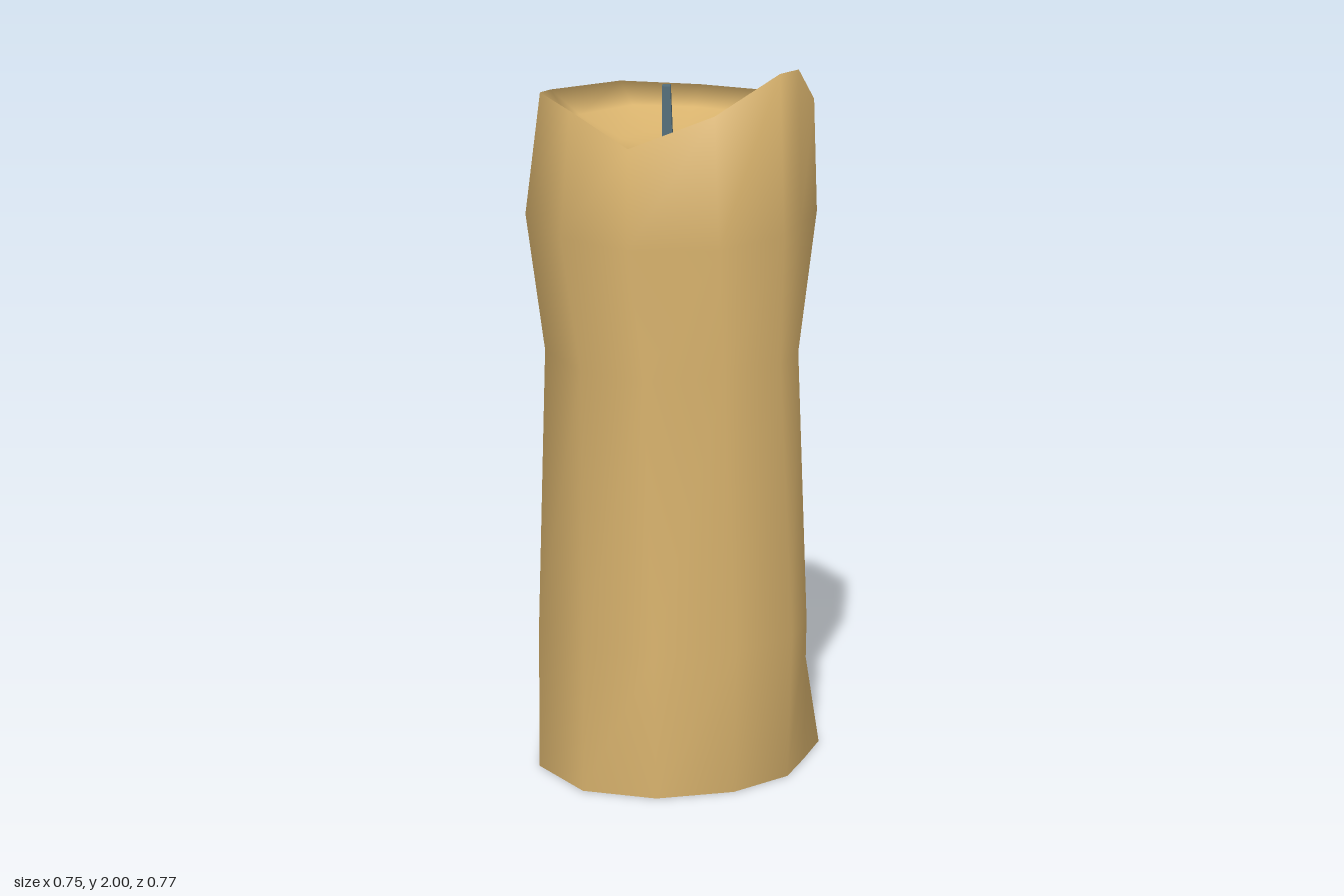
import * as THREE from 'three';

const wax = new THREE.MeshStandardMaterial({ color: 0xdab46e });
wax.name = 'wax';
const charcoal = new THREE.MeshStandardMaterial({ color: 0x546e7a });
charcoal.name = 'blue grey wick';

// Eleven corners per outline [x, z], going from the front round by +x
const foot = [[.055, .355], [.24, .24], [.34, .06], [.34, -.1], [.335, -.27], [.19, -.305],
  [.04, -.34], [-.25, -.25], [-.343, -.064], [-.33, .15], [-.155, .34]];
const shoulder = [[-.02, .385], [.22, .315], [.355, .145], [.367, .02], [.375, -.11], [.225, -.35],
  [0, -.385], [-.23, -.33], [-.372, -.11], [-.375, .13], [-.225, .315]];
// Uneven melted lip [x, z, y]
const lip = [[-.02, .375, 1.835], [.2, .29, 1.92], [.335, .115, 2], [.355, 0, 1.98], [.345, -.19, 1.84],
  [.213, -.355, 1.8], [-.03, -.39, 1.79], [-.238, -.333, 1.8], [-.372, -.11, 1.83], [-.34, .11, 1.89],
  [-.21, .28, 1.9]];

// Outline between foot and shoulder, pulled to a given radius
const between = (t, radius, y) => foot.map(([x, z], i) => {
  const px = x + (shoulder[i][0] - x) * t, pz = z + (shoulder[i][1] - z) * t;
  const s = radius / Math.hypot(px, pz);
  return [px * s, y, pz * s];
});
// Bowl outline: the lip shrunk and blended down to the pool level
const bowl = (scale, blend) => lip.map(([x, z, y]) => [x * scale, y + (1.72 - y) * blend, z * scale]);

function loft(rings) {
  const n = rings[0].length, index = [];
  for (let r = 0; r < rings.length - 1; r++) {
    for (let j = 0; j < n; j++) {
      const a = r * n + j, b = r * n + (j + 1) % n;
      index.push(a, b, b + n, a, b + n, a + n);
    }
  }
  // Close the bowl with a fan at its centre
  const last = (rings.length - 1) * n;
  for (let j = 0; j < n; j++) index.push(last + j, last + (j + 1) % n, last + n);
  const geo = new THREE.BufferGeometry();
  geo.setAttribute('position', new THREE.Float32BufferAttribute([...rings.flat(2), 0, 1.715, 0], 3));
  geo.setIndex(index);
  geo.computeVertexNormals();
  return geo;
}

export function createModel() {
  const group = new THREE.Group();
  group.name = 'candle';

  // Wax body and melted bowl in one smooth skin
  const body = new THREE.Mesh(loft([
    foot.map(([x, z]) => [x, 0, z]),
    between(0.1, 0.363, 0.4),
    between(0.5, 0.345, 1.17),
    shoulder.map(([x, z]) => [x, 1.55, z]),
    lip.map(([x, z, y]) => [x, y, z]),
    bowl(0.76, 0.5),
    bowl(0.42, 0.92),
  ]), wax);
  body.name = 'waxBody';

  // Flat underside
  const outline = new THREE.Shape(foot.map(([x, z]) => new THREE.Vector2(x, z)));
  const underside = new THREE.Mesh(new THREE.ShapeGeometry(outline).rotateX(Math.PI / 2), wax);
  underside.name = 'underside';

  // Square, slightly tapered and leaning wick
  const wick = new THREE.Mesh(new THREE.CylinderGeometry(0.016, 0.022, 0.22, 4).toNonIndexed(), charcoal);
  wick.geometry.computeVertexNormals();
  wick.geometry.rotateY(Math.PI / 4 + 0.2);
  wick.position.set(-0.014, 1.795, 0);
  wick.rotation.z = 0.02;
  wick.name = 'wick';

  group.add(body, underside, wick);
  return group;
}
